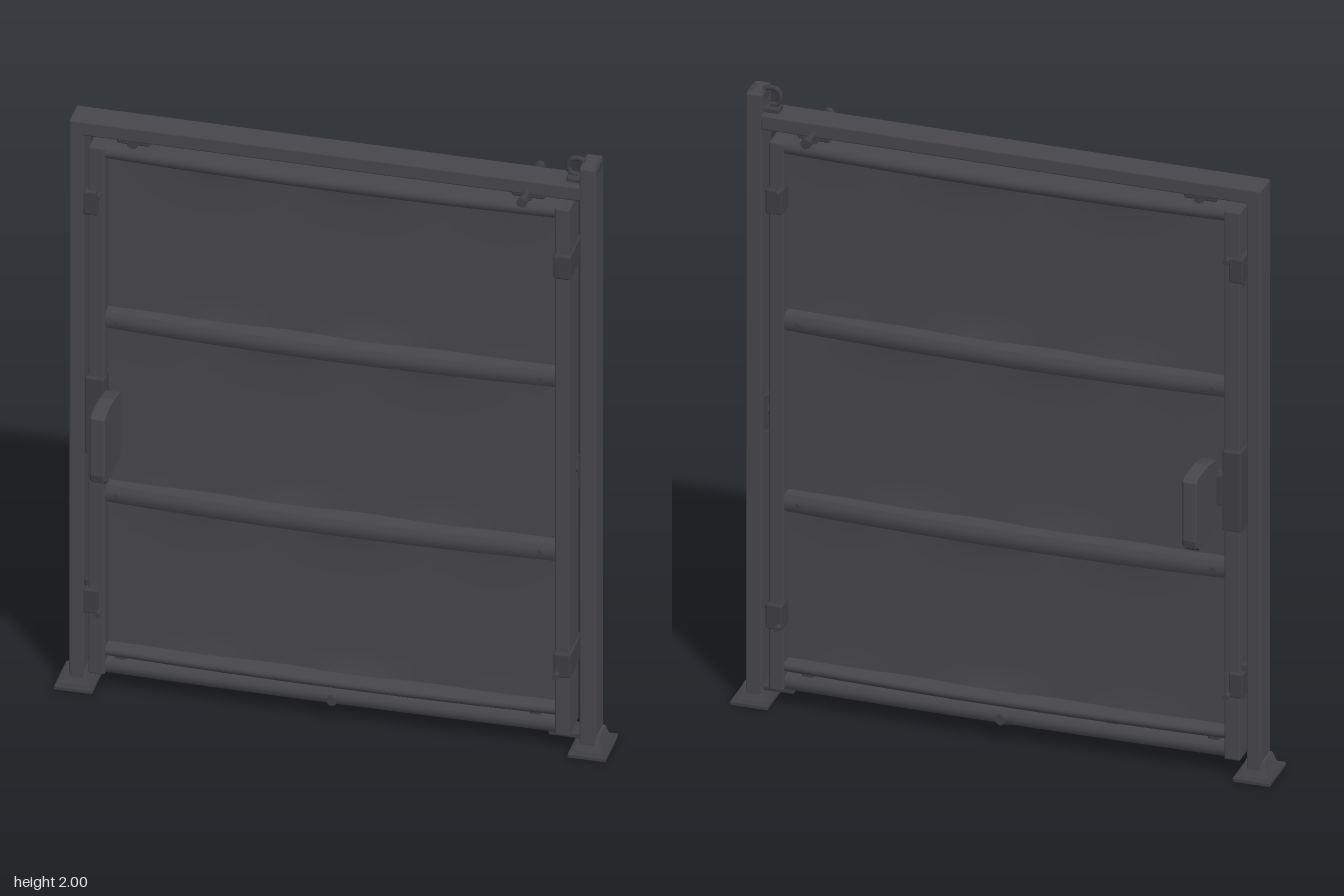
import * as THREE from 'three';
import { RoundedBoxGeometry } from 'three/addons/geometries/RoundedBoxGeometry.js';

const steel = new THREE.MeshStandardMaterial({ color: 0x47464b });
steel.name = 'dark steel';
const iron = new THREE.MeshStandardMaterial({ color: 0x3f3e43 });
iron.name = 'iron fittings';

export function createModel() {
  const root = new THREE.Group();
  root.name = 'steelGate';

  const add = (name, geo, mat, x = 0, y = 0, z = 0) => {
    const m = new THREE.Mesh(geo, mat);
    m.name = name;
    m.position.set(x, y, z);
    root.add(m);
    return m;
  };

  // Softly bevelled bar given by its x, y and z limits
  const bar = (name, x0, x1, y0, y1, z0, z1, mat = steel, r = 0.006) =>
    add(name, new RoundedBoxGeometry(x1 - x0, y1 - y0, z1 - z0, 1, r), mat,
      (x0 + x1) / 2, (y0 + y1) / 2, (z0 + z1) / 2);

  // Horizontal rail whose depth swells toward mid-span
  const rail = (name, x0, x1, y0, y1, endZ, midZ) => {
    const w = x1 - x0, h = y1 - y0;
    const g = new THREE.BoxGeometry(w, h, 1, 28, 4, 1);
    const p = g.attributes.position;
    for (let i = 0; i < p.count; i++) {
      const u = p.getX(i) / (w / 2), v = p.getY(i) / (h / 2);
      const half = endZ + (midZ - endZ) * (1 - u * u) - 0.008 * Math.abs(v) ** 3;
      p.setZ(i, Math.sign(p.getZ(i)) * half);
    }
    g.computeVertexNormals();
    add(name, g, steel, (x0 + x1) / 2, (y0 + y1) / 2);
  };

  // Thin sheet set deep between the rails, puckered along its top and bottom edges
  const sheet = (x0, x1, y0, y1) => {
    const w = x1 - x0, h = y1 - y0;
    const g = new THREE.BoxGeometry(w, h, 0.022, 28, 12, 1);
    const p = g.attributes.position;
    for (let i = 0; i < p.count; i++) {
      const u = p.getX(i) / (w / 2), v = p.getY(i) / (h / 2);
      const pucker = 0.006 * Math.abs(v) ** 8 * (1 + Math.sin(u * 9 + y0 * 5)) * (1 - u * u);
      p.setZ(i, p.getZ(i) + Math.sign(p.getZ(i)) * pucker);
    }
    g.computeVertexNormals();
    add('panel', g, steel, (x0 + x1) / 2, (y0 + y1) / 2);
  };

  const bolt = (name, x, y, z, r, len, axis = 'z') => {
    const m = add(name, new THREE.CylinderGeometry(r, r, len, 8), iron, x, y, z);
    if (axis === 'z') m.rotation.x = Math.PI / 2;
    if (axis === 'x') m.rotation.z = Math.PI / 2;
  };

  // Outer frame: two posts and the lintel
  bar('rightPost', -0.79, -0.745, 0.01, 1.92, -0.045, 0.045);
  bar('leftPost', 0.735, 0.785, 0.01, 1.985, -0.045, 0.045);
  bar('lintel', -0.785, 0.74, 1.872, 1.92, -0.045, 0.045);
  bar('postCap', 0.732, 0.788, 1.955, 1.985, -0.03, 0.03, iron);

  // Feet: flat plate with a short collar
  for (const x of [-0.77, 0.765]) {
    bar('footPlate', x - 0.058, x + 0.058, 0, 0.014, -0.075, 0.075, iron, 0.004);
    const collar = new THREE.CylinderGeometry(0.04, 0.06, 0.05, 4, 1).rotateY(Math.PI / 4).toNonIndexed();
    collar.computeVertexNormals();
    add('footCollar', collar, steel, x, 0.036).scale.z = 1.25;
  }

  // Door leaf: stiles, rails and recessed panels
  bar('rightStile', -0.73, -0.68, 0.06, 1.845, -0.056, 0.056);
  bar('leftStile', 0.665, 0.71, 0.06, 1.845, -0.056, 0.056);
  rail('topRail', -0.7, 0.69, 1.808, 1.846, 0.052, 0.07);
  rail('upperCrossRail', -0.685, 0.67, 1.232, 1.287, 0.05, 0.073);
  rail('lowerCrossRail', -0.685, 0.67, 0.643, 0.7, 0.05, 0.073);
  rail('panelBottomRail', -0.685, 0.67, 0.122, 0.152, 0.05, 0.066);
  rail('bottomRail', -0.7, 0.69, 0.062, 0.106, 0.046, 0.054);
  for (const [y0, y1] of [[0.148, 0.648], [0.696, 1.238], [1.282, 1.814]]) sheet(-0.683, 0.668, y0, y1);

  // Rivets at the ends of the cross rails
  for (const y of [1.258, 0.672])
    for (const x of [-0.645, 0.62])
      bolt('railRivet', x, y, 0, 0.008, 0.118);

  // Hinge clamps with pins on both stiles
  for (const y of [1.66, 0.31]) {
    const s = y > 1 ? 1 : -1;
    bar('rightClamp', -0.742, -0.698, y - 0.04, y + 0.04, -0.068, 0.068, iron);
    bar('leftClamp', 0.664, 0.716, y - 0.045, y + 0.035, -0.07, 0.07, iron);
    for (const z of [-1, 1]) {
      bolt('clampPin', 0.675, y + s * 0.032, z * 0.073, 0.009, 0.035);
      bolt('clampPin', -0.695, y + s * 0.032, z * 0.068, 0.009, 0.035);
      bolt('clampScrew', -0.735, y - s * 0.047, z * 0.03, 0.012, 0.02, 'y');
    }
  }

  // Lock case and paddle handles on both faces
  bar('lockCase', -0.737, -0.678, 0.81, 1.07, -0.068, 0.068, iron);
  const outline = new THREE.Shape();
  [[0.075, 0.85], [0.1, 0.832], [0.24, 0.826], [0.268, 0.845], [0.275, 0.87],
    [0.275, 1.06], [0.265, 1.072], [0.17, 1.072], [0.1, 1.055], [0.075, 1.04]]
    .forEach(([a, b], i) => (i ? outline.lineTo(a, b) : outline.moveTo(a, b)));
  const paddle = new THREE.ExtrudeGeometry(outline, {
    depth: 0.034, bevelEnabled: true, bevelSize: 0.004, bevelThickness: 0.006,
    bevelOffset: -0.004, bevelSegments: 1,
  });
  for (const s of [-1, 1]) {
    add('paddleHandle', paddle, steel, s > 0 ? -0.63 : -0.664).rotation.y = -s * Math.PI / 2;
    bar('handleNeck', -0.685, -0.64, 0.9, 1.0, s > 0 ? 0.045 : -0.09, s > 0 ? 0.09 : -0.045, iron);
  }

  // Top roller brackets and cross pin
  for (const x of [-0.6, 0.58]) {
    bar('topBracket', x - 0.05, x + 0.05, 1.856, 1.882, -0.035, 0.035, iron);
    bolt('bracketRoller', x, 1.868, 0, 0.018, 0.09);
  }
  bolt('crossPin', 0.58, 1.882, 0, 0.012, 0.22);
  for (const z of [-0.1, 0.1]) bolt('pinHead', 0.58, 1.882, z, 0.016, 0.02);

  // Hook beside the tall post
  const hook = new THREE.CatmullRomCurve3([
    [0.745, 1.985], [0.72, 1.992], [0.698, 1.985], [0.692, 1.96], [0.7, 1.942], [0.722, 1.938],
  ].map(([x, y]) => new THREE.Vector3(x, y, 0)));
  add('hook', new THREE.TubeGeometry(hook, 16, 0.008, 6), iron);
  bar('hookGusset', 0.69, 0.745, 1.9, 1.935, -0.022, 0.022, iron);

  // Strike bolt on the post
  bar('strikePlate', 0.726, 0.74, 0.89, 1.0, -0.025, 0.025, iron, 0.003);
  bolt('strikeBolt', 0.728, 0.945, 0, 0.016, 0.02, 'x');

  // Bottom fittings
  bolt('dropBolt', 0, 0.083, 0, 0.017, 0.08, 'y');
  bolt('dropBoltHead', 0, 0.08, 0, 0.016, 0.13);
  for (const x of [-0.33, 0.15, -0.64, 0.6]) bar('bottomSpacer', x - 0.018, x + 0.018, 0.1, 0.126, -0.03, 0.03, iron);
  bar('pivotFoot', 0.64, 0.74, 0.044, 0.063, -0.035, 0.035, iron);

  return root;
}
